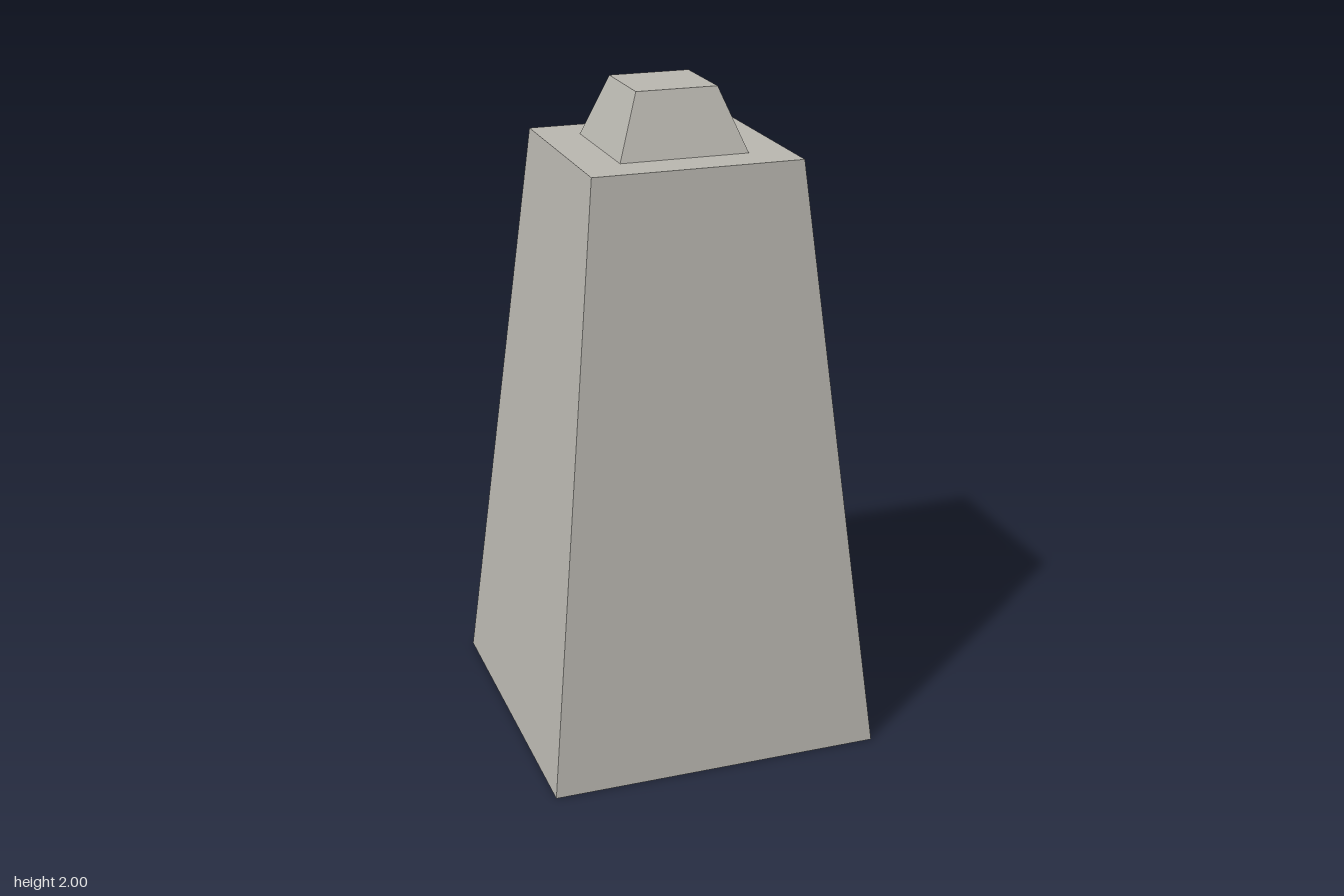
import * as THREE from 'three';

const stone = new THREE.MeshStandardMaterial({ color: 0xb8b6af, flatShading: true });
stone.name = 'warm grey stone';

// Square block whose sides slope from half-width `bottom` to half-width `top`
function taperedBlock(name, bottom, top, y0, y1) {
  const height = y1 - y0;
  const geometry = new THREE.BoxGeometry(2, height, 2);
  const p = geometry.attributes.position;
  for (let i = 0; i < p.count; i++) {
    const half = p.getY(i) > 0 ? top : bottom;
    p.setX(i, p.getX(i) * half);
    p.setZ(i, p.getZ(i) * half);
  }
  geometry.translate(0, y0 + height / 2, 0);
  geometry.computeVertexNormals();
  const mesh = new THREE.Mesh(geometry, stone);
  mesh.name = name;
  return mesh;
}

export function createModel() {
  const model = new THREE.Group();
  model.name = 'stonePillar';
  // Tall tapering body, then the small steep cap on its flat top
  model.add(taperedBlock('body', 0.509, 0.316, 0, 1.815));
  model.add(taperedBlock('cap', 0.194, 0.123, 1.815, 2));
  return model;
}
